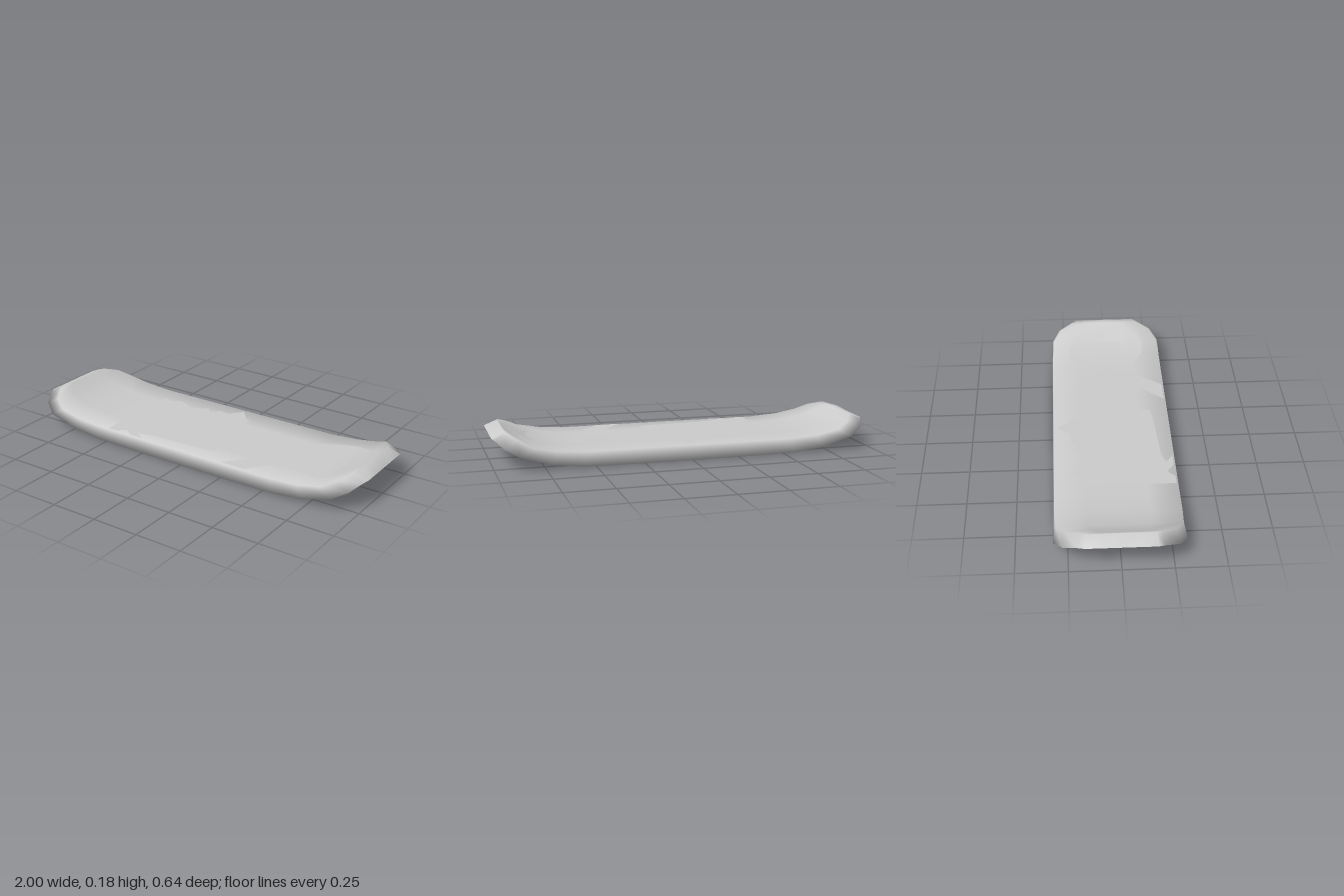
import * as THREE from 'three';
import { mergeVertices } from 'three/addons/utils/BufferGeometryUtils.js';

const material = new THREE.MeshStandardMaterial({ color: 0xcccccc, side: THREE.DoubleSide });

// Half of the board from the middle to the tip.
// Each station: lower edge [x, half width, y], upper edge [x, half width, y]
const HALF = [
  [0, 0.318, 0.002, 0, 0.312, 0.08],
  [0.28, 0.318, 0.003, 0.28, 0.312, 0.08],
  [0.55, 0.318, 0.006, 0.54, 0.312, 0.08],
  [0.72, 0.318, 0.025, 0.69, 0.311, 0.09],
  [0.88, 0.318, 0.072, 0.81, 0.305, 0.112],
  [0.95, 0.275, 0.108, 0.88, 0.265, 0.146],
  [0.985, 0.205, 0.136, 0.925, 0.19, 0.17],
  [1, 0.17, 0.144, 0.935, 0.165, 0.172],
];
const TIP = HALF[HALF.length - 1];
const COLUMNS = [-1, -0.5, 0, 0.5, 1];
const BACKWARD = [...COLUMNS].reverse();

// Point on the upper face; the last station bulges a little at its middle
function topPoint(station, side, c) {
  const [, , , x, w, y] = station;
  const bulge = station === TIP ? 1 - Math.abs(c) : 0;
  return [side * (x + 0.005 * bulge), y + 0.008 * bulge, c * w];
}

// Closed cross-section: underside from back to front, upper face from front to back
function section(station, side) {
  const [x, w, y] = station;
  return [
    ...COLUMNS.map((c) => [side * x, y, c * w]),
    ...BACKWARD.map((c) => topPoint(station, side, c)),
  ];
}

// Collapsed section on the upper edge, which closes the tip with a bevel
function tipRow(side) {
  return [...COLUMNS, ...BACKWARD].map((c) => topPoint(TIP, side, c));
}

function deckGeometry() {
  const rows = [
    tipRow(-1),
    ...HALF.slice(1).reverse().map((s) => section(s, -1)),
    ...HALF.map((s) => section(s, 1)),
    tipRow(1),
  ];
  const n = rows[0].length;
  const index = [];
  for (let i = 0; i < rows.length - 1; i++) {
    for (let j = 0; j < n; j++) {
      const a = i * n + j, b = i * n + ((j + 1) % n);
      index.push(a, a + n, b, b, a + n, b + n);
    }
  }
  const geometry = new THREE.BufferGeometry();
  geometry.setAttribute('position', new THREE.Float32BufferAttribute(rows.flat(2), 3));
  geometry.setIndex(index);
  const welded = mergeVertices(geometry, 1e-5);
  welded.computeVertexNormals();
  return welded;
}

// Height of the upper face at a given x
function topHeight(x) {
  const ax = Math.abs(x);
  const i = HALF.findIndex((s) => ax <= s[3]);
  if (i <= 0) return HALF[0][5];
  const [, , , x0, , y0] = HALF[i - 1];
  const [, , , x1, , y1] = HALF[i];
  return y0 + ((y1 - y0) * (ax - x0)) / (x1 - x0);
}

// Plan outline [x, z] of the animal head
const HEAD = [
  [-0.484, -0.21], [-0.43, -0.185], [-0.39, -0.215], [-0.33, -0.2], [-0.28, -0.165],
  [-0.185, -0.22], [-0.165, -0.185], [-0.115, -0.225], [-0.06, -0.22], [0, -0.293],
  [0.055, -0.225], [0.095, -0.2], [0.085, -0.155], [0.15, -0.05], [0.18, 0.02],
  [0.275, 0.085], [0.2, 0.135], [0.11, 0.115], [0.1, 0.14], [0.145, 0.16],
  [0.145, 0.215], [0.095, 0.225], [-0.24, 0.245], [-0.315, 0.265], [-0.26, 0.303],
  [-0.335, 0.303], [-0.39, 0.265], [-0.43, 0.303], [-0.484, 0.303],
];

// Curled tail as pairs across its width: outer x, z, inner x, z
const TAIL = [
  [0.24, 0.303, 0.38, 0.303], [0.34, 0.19, 0.46, 0.2], [0.41, 0.06, 0.52, 0.08],
  [0.48, -0.08, 0.58, -0.03], [0.56, -0.165, 0.62, -0.07], [0.66, -0.208, 0.66, -0.09],
  [0.75, -0.21, 0.74, -0.095], [0.83, -0.17, 0.78, -0.07], [0.88, -0.09, 0.8, -0.04],
  [0.9, 0.02, 0.81, 0.03], [0.885, 0.13, 0.785, 0.09], [0.84, 0.2, 0.76, 0.105],
  [0.77, 0.22, 0.72, 0.11], [0.69, 0.205, 0.68, 0.1], [0.635, 0.175, 0.66, 0.095],
];

// Thin sheet that follows the bend of the upper face
function tailGeometry() {
  const positions = [];
  const index = [];
  TAIL.forEach(([ox, oz, ix, iz], i) => {
    positions.push(ox, topHeight(ox) + 0.003, oz, ix, topHeight(ix) + 0.003, iz);
    const a = 2 * i;
    if (i < TAIL.length - 1) index.push(a, a + 1, a + 2, a + 1, a + 3, a + 2);
  });
  const geometry = new THREE.BufferGeometry();
  geometry.setAttribute('position', new THREE.Float32BufferAttribute(positions, 3));
  geometry.setIndex(index);
  geometry.computeVertexNormals();
  return geometry;
}

// Flat sheet on the level middle of the upper face
function headGeometry() {
  const shape = new THREE.Shape(HEAD.map(([x, z]) => new THREE.Vector2(x, -z)));
  return new THREE.ShapeGeometry(shape).rotateX(-Math.PI / 2).translate(0, topHeight(0) + 0.002, 0);
}

export function createModel() {
  const group = new THREE.Group();
  group.name = 'board';
  const parts = { deck: deckGeometry(), headInlay: headGeometry(), tailInlay: tailGeometry() };
  for (const [name, geometry] of Object.entries(parts)) {
    const mesh = new THREE.Mesh(geometry, material);
    mesh.name = name;
    group.add(mesh);
  }
  return group;
}
